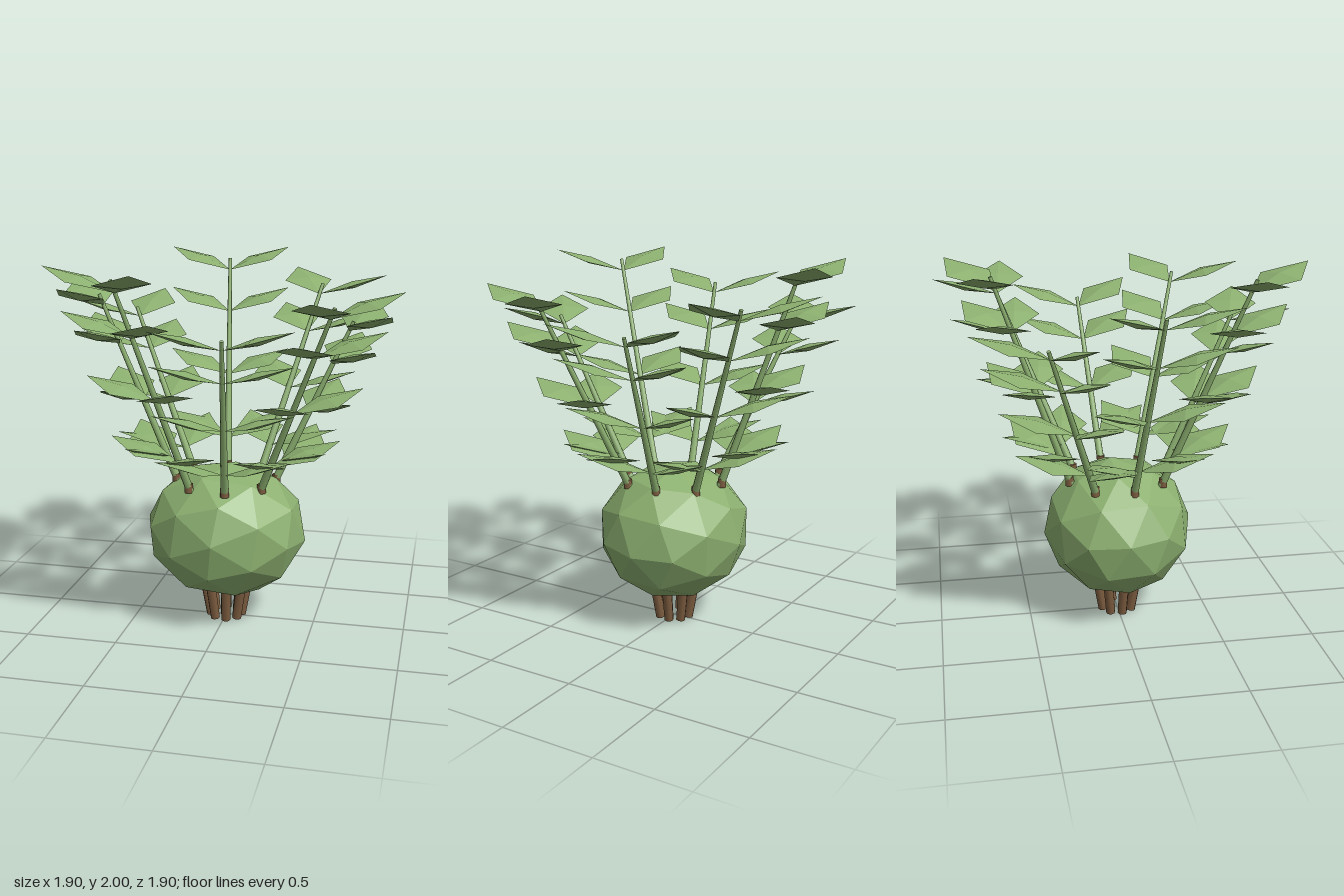
import * as THREE from 'three';

const green = new THREE.MeshStandardMaterial({ color: 0x8cb070 });
green.name = 'leaf green';
const brown = new THREE.MeshStandardMaterial({ color: 0x7d5d40 });
brown.name = 'root brown';

const UP = new THREE.Vector3(0, 1, 0);

function add(parent, name, geometry, material) {
  const mesh = new THREE.Mesh(geometry, material);
  mesh.name = name;
  parent.add(mesh);
  return mesh;
}

// Tapered rod running from point a to point b
function rod(parent, name, a, b, rA, rB, material) {
  const dir = b.clone().sub(a);
  const mesh = add(parent, name, new THREE.CylinderGeometry(rB, rA, dir.length(), 8), material);
  mesh.position.copy(a).addScaledVector(dir, 0.5);
  mesh.quaternion.setFromUnitVectors(UP, dir.normalize());
  return mesh;
}

// Flat four-cornered leaf with its base at the origin, pointing along +x
const leafGeometry = new THREE.OctahedronGeometry(1)
  .scale(0.204, 0.02, 0.143)
  .translate(0.204, 0, 0);

// Heights of the leaf pairs, as fractions of the stalk
const leafLevels = [0.145, 0.445, 0.745, 0.945];

function createStem(i) {
  const stem = new THREE.Group();
  stem.name = 'leafStem';
  stem.rotation.y = THREE.MathUtils.degToRad(10.5 + 45 * i);

  const base = new THREE.Vector3(0.265, 0.79, 0);
  const tip = new THREE.Vector3(i % 2 ? 0.76 : 0.675, [1.68, 1.82, 1.95][i % 3], 0);
  rod(stem, 'stalk', base, tip, 0.022, 0.01, green);

  // Short upright collar where the stalk leaves the bulb
  const collar = add(stem, 'stalkCollar', new THREE.CylinderGeometry(0.023, 0.023, 0.05, 8), brown);
  collar.position.set(0.275, 0.81, 0);

  // Pairs of leaves up the stalk
  for (const level of leafLevels) {
    for (const side of [-1, 1]) {
      const leaf = add(stem, 'leaf', leafGeometry, green);
      leaf.position.lerpVectors(base, tip, level);
      leaf.rotation.order = 'YZX';
      leaf.rotation.set(0, side * THREE.MathUtils.degToRad(62), THREE.MathUtils.degToRad(17));
    }
  }
  return stem;
}

export function createModel() {
  const model = new THREE.Group();
  model.name = 'bulbPlant';

  // Faceted bulb, slightly tipped
  const bulbGeometry = new THREE.IcosahedronGeometry(1, 1)
    .rotateX(-0.07)
    .rotateZ(-0.11)
    .scale(0.447, 0.381, 0.412);
  bulbGeometry.computeVertexNormals();
  add(model, 'bulb', bulbGeometry, green).position.y = 0.52;

  // Ring of roots leaning inward towards the ground, and ring of stems
  for (let i = 0; i < 8; i++) {
    const a = THREE.MathUtils.degToRad(10.5 + 45 * i);
    const at = (r, y) => new THREE.Vector3(r * Math.cos(a), y, -r * Math.sin(a));
    rod(model, 'root', at(0.085, 0.005), at(0.13, 0.27), 0.026, 0.029, brown);
    model.add(createStem(i));
  }
  return model;
}
